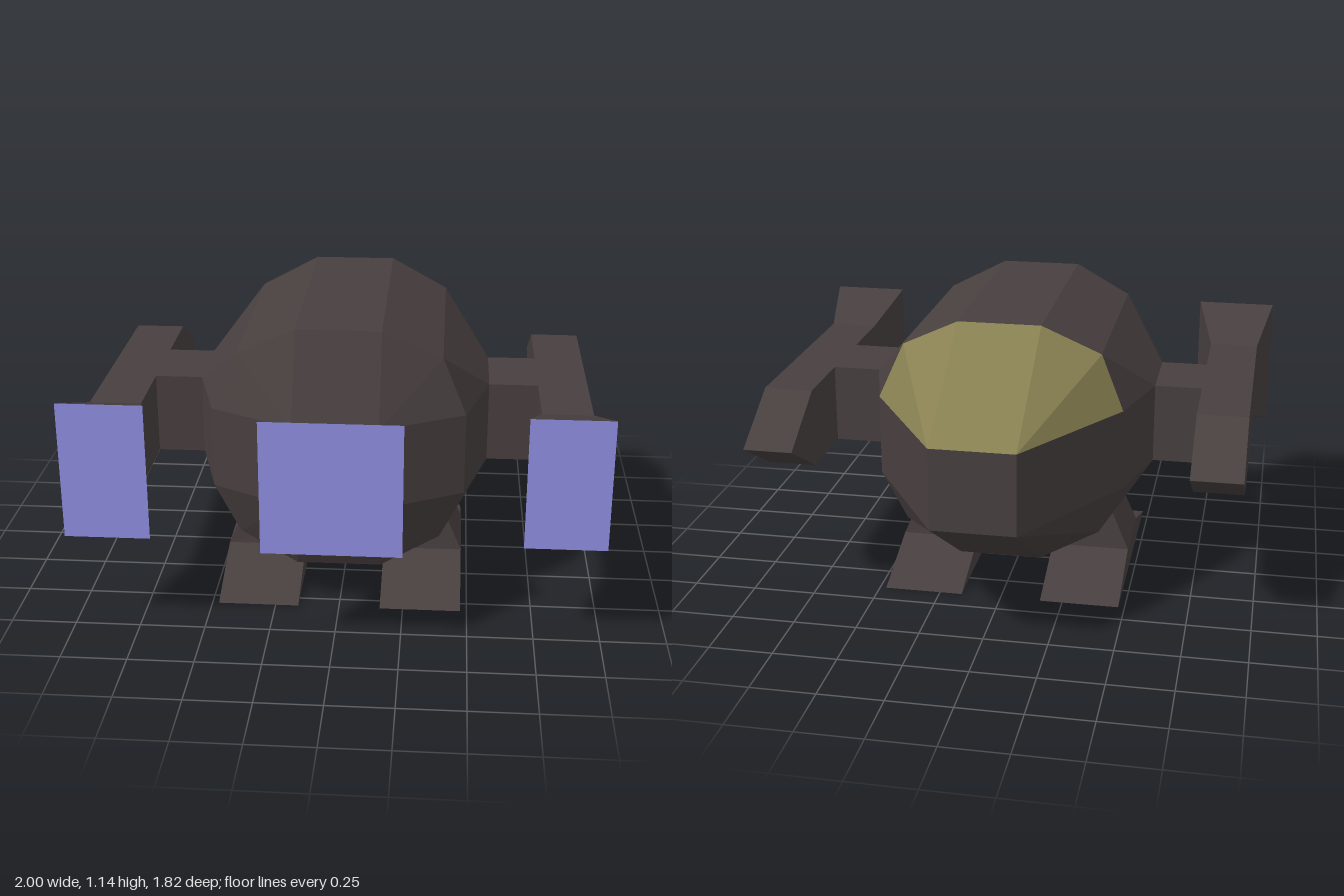
import * as THREE from 'three';
import { ConvexGeometry } from 'three/addons/geometries/ConvexGeometry.js';

const makeMat = (color) => new THREE.MeshStandardMaterial({ color, flatShading: true });
const MID_Y = 0.668, HALF_Y = 0.158;

function meshFrom(positions, material, name) {
  const g = new THREE.BufferGeometry();
  g.setAttribute('position', new THREE.Float32BufferAttribute(positions, 3));
  g.computeVertexNormals();
  const m = new THREE.Mesh(g, material);
  m.name = name;
  return m;
}

// Skin four-cornered rings; corners run counterclockwise seen from the last ring.
function loft(rings, material, name, capEnd = true) {
  const pos = [];
  const quad = (a, b, c, d) => pos.push(...a, ...b, ...c, ...a, ...c, ...d);
  for (let k = 0; k < rings.length - 1; k++) {
    const a = rings[k], b = rings[k + 1];
    for (let i = 0; i < 4; i++) {
      const j = (i + 1) % 4;
      quad(a[i], a[j], b[j], b[i]);
    }
  }
  const s = rings[0], e = rings[rings.length - 1];
  quad(s[3], s[2], s[1], s[0]);
  if (capEnd) quad(...e);
  return meshFrom(pos, material, name);
}

// Rectangle ring facing +z
const rectZ = (cx, hx, hy, z) => [
  [cx - hx, MID_Y - hy, z], [cx + hx, MID_Y - hy, z],
  [cx + hx, MID_Y + hy, z], [cx - hx, MID_Y + hy, z],
];

export function createModel() {
  const model = new THREE.Group();
  model.name = 'spacecraft';
  const hullMat = makeMat(0x483f3f), glassMat = makeMat(0x888052), glowMat = makeMat(0x8e8ee0);

  // Faceted hull: cabin corners and edges, blunt front, long tapered rear
  const pts = [];
  for (const sx of [-1, 1]) for (const sy of [-1, 1]) {
    const add = (x, y, z) => pts.push(new THREE.Vector3(sx * x, MID_Y + sy * y, z));
    for (const z of [0.555, -0.4]) {
      add(0.16, 0.477, z);
      add(0.475, HALF_Y, z);
    }
    for (const z of [0.515, -0.36]) add(0.385, 0.365, z);
    for (const z of [0.23, -0.08]) add(0.565, HALF_Y, z);
    add(0.16, HALF_Y, 0.72);
    add(0.16, HALF_Y, -0.91);
  }
  const hull = new ConvexGeometry(pts).getAttribute('position');
  const body = [], canopy = [];
  for (let i = 0; i < hull.count; i += 3) {
    const tri = [], ids = [i, i + 1, i + 2];
    ids.forEach((k) => tri.push(hull.getX(k), hull.getY(k), hull.getZ(k)));
    // Upper rear facets form the canopy
    const isGlass = ids.every((k) => hull.getY(k) > 0.8 && hull.getZ(k) < -0.3);
    (isGlass ? canopy : body).push(...tri);
  }
  model.add(meshFrom(body, hullMat, 'body'), meshFrom(canopy, glassMat, 'canopy'));

  // Glowing panel closing a nozzle
  const addGlow = (cx, hx, hy, z, name) => {
    const p = new THREE.Mesh(new THREE.PlaneGeometry(2 * hx, 2 * hy), glowMat);
    p.position.set(cx, MID_Y, z);
    p.name = name;
    model.add(p);
  };

  // Central nozzle
  model.add(loft([rectZ(0, 0.16, HALF_Y, 0.715), rectZ(0, 0.257, 0.257, 0.91)],
    hullMat, 'centralNozzle', false));
  addGlow(0, 0.257, 0.257, 0.91, 'centralGlow');

  const sides = [
    { s: 1, side: 'left', cx: 0.85, hx: 0.096, mx: 0.847, mw: 0.152, mh: 0.254 },
    { s: -1, side: 'right', cx: -0.847, hx: 0.098, mx: -0.84, mw: 0.16, mh: 0.265 },
  ];
  for (const { s, side, cx, hx, mx, mw, mh } of sides) {
    // Engine pod: wedge tail, straight barrel, flared mouth
    model.add(loft([
      rectZ(cx, hx, 0.0005, -0.655), rectZ(cx, hx, HALF_Y, -0.38),
      rectZ(cx, hx, HALF_Y, 0.525), rectZ(mx, mw, mh, 0.81),
    ], hullMat, side + 'EnginePod', false));
    addGlow(mx, mw, mh, 0.81, side + 'EngineGlow');

    // Strut from hull to pod
    const strut = new THREE.Mesh(new THREE.BoxGeometry(0.22, 2 * HALF_Y, 0.31), hullMat);
    strut.position.set(s * 0.65, MID_Y, 0.075);
    strut.name = side + 'Strut';
    model.add(strut);

    // Leg spreading into a long flat skid
    const ring = (x0, y0, x1, y1, z0, z1) => {
      const r = [[s * x0, y0, z0], [s * x1, y1, z0], [s * x1, y1, z1], [s * x0, y0, z1]];
      return s > 0 ? r : r.reverse();
    };
    model.add(loft([
      ring(0.16, 0.2, 0.385, 0.31, -0.067, 0.228),
      ring(0.16, 0.105, 0.475, 0.105, -0.08, 0.24),
      ring(0.16, 0, 0.475, 0, -0.4, 0.56),
    ], hullMat, side + 'Leg'));
  }
  return model;
}
